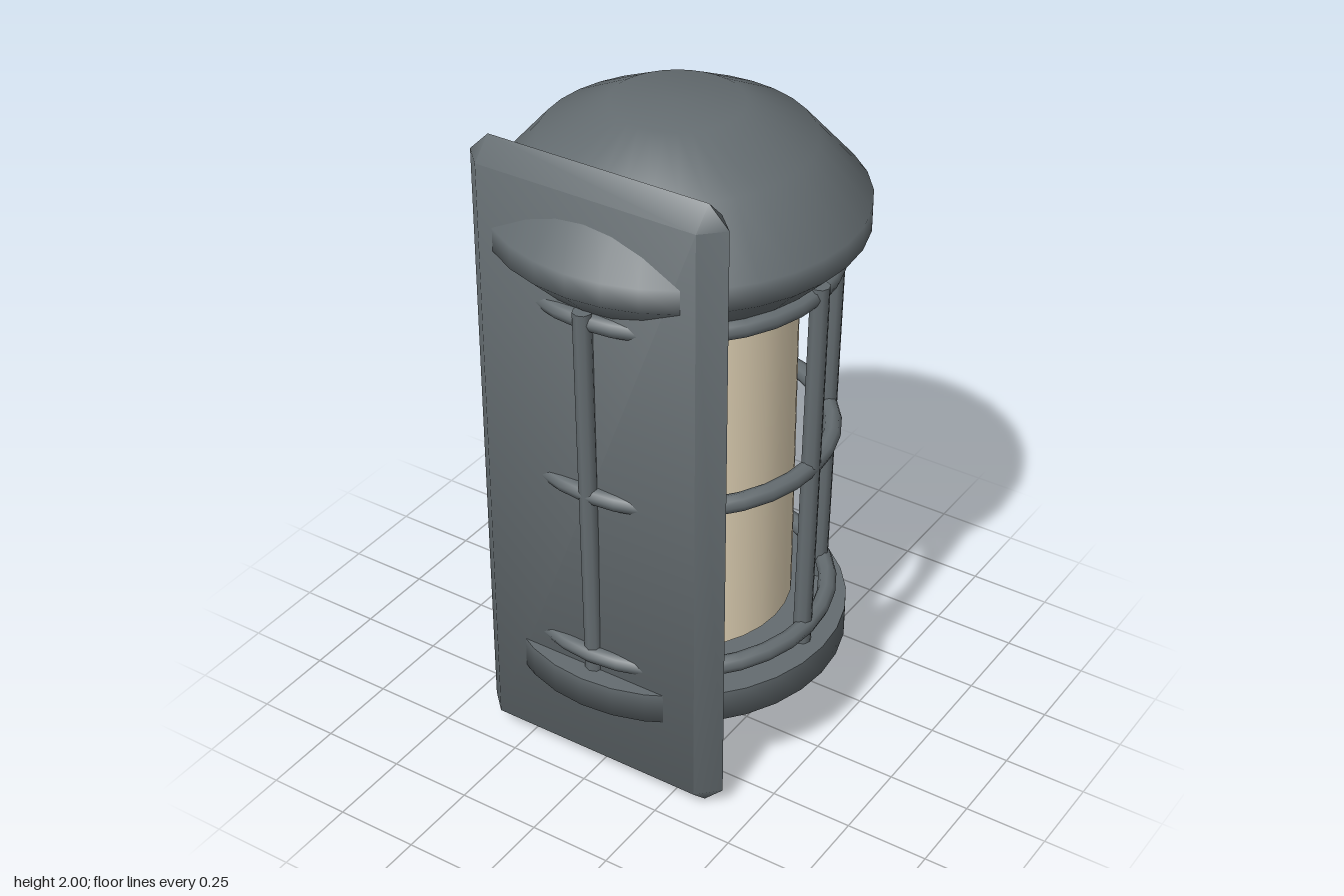
import * as THREE from 'three';
import { ConvexGeometry } from 'three/addons/geometries/ConvexGeometry.js';
import { toCreasedNormals } from 'three/addons/utils/BufferGeometryUtils.js';

export function createModel() {
  const lantern = new THREE.Group();
  lantern.name = 'wallLantern';

  const metal = new THREE.MeshStandardMaterial({ color: 0x646c70 });
  metal.name = 'slate metal';
  const cream = new THREE.MeshStandardMaterial({ color: 0xe8d9bb });
  cream.name = 'cream glass';

  const add = (name, geometry, material, parent = lantern) => {
    const mesh = new THREE.Mesh(geometry, material);
    mesh.name = name;
    parent.add(mesh);
    return mesh;
  };
  // A repeated profile point keeps that edge sharp
  const lathe = (profile) =>
    new THREE.LatheGeometry(profile.map(([r, y]) => new THREE.Vector2(r, y)), 32);

  // Domed roof
  add('roof', lathe([
    [0, 1.575], [0.445, 1.575], [0.445, 1.575], [0.531, 1.66], [0.531, 1.73],
    [0.38, 1.9], [0.185, 2], [0, 2],
  ]), metal);

  // Bowl-shaped base with a flat top
  add('base', lathe([
    [0, 0.13], [0.28, 0.13], [0.503, 0.283], [0.503, 0.38], [0.503, 0.38], [0, 0.38],
  ]), metal);

  // Glass cylinder
  const glass = add('glass', new THREE.CylinderGeometry(0.34, 0.34, 1.15, 32), cream);
  glass.position.y = 1.0;

  // Cage: three rings and eight bars leaning slightly outward
  const cage = new THREE.Group();
  cage.name = 'cage';
  lantern.add(cage);
  for (const [y, r] of [[0.435, 0.446], [0.99, 0.443], [1.547, 0.443]]) {
    const ring = add('cageRing', new THREE.TorusGeometry(r, 0.027, 8, 32), metal, cage);
    ring.rotation.x = Math.PI / 2;
    ring.position.y = y;
  }
  for (let i = 0; i < 8; i++) {
    const arm = new THREE.Group();
    arm.name = 'cageBarArm';
    arm.rotation.y = (i * Math.PI) / 4;
    cage.add(arm);
    const bar = add('cageBar', new THREE.CylinderGeometry(0.028, 0.028, 1.21, 8), metal, arm);
    bar.position.set(0, 0.975, 0.443);
    bar.rotation.x = 0.018;
  }

  // Mounting plate with bevelled edges and corners
  const w = 0.404, h = 0.985, b = 0.061;
  const corners = [];
  for (const sx of [-1, 1]) {
    for (const sy of [-1, 1]) {
      corners.push(
        new THREE.Vector3(sx * (w - b), sy * (h - b), b),
        new THREE.Vector3(sx * (w - b), sy * (h - b), -b),
        new THREE.Vector3(sx * w, sy * (h - b), 0),
        new THREE.Vector3(sx * (w - b), sy * h, 0),
      );
    }
  }
  const plate = add('mountingPlate', toCreasedNormals(new ConvexGeometry(corners), 1.0), metal);
  plate.position.set(0, h, 0.379);

  return lantern;
}
